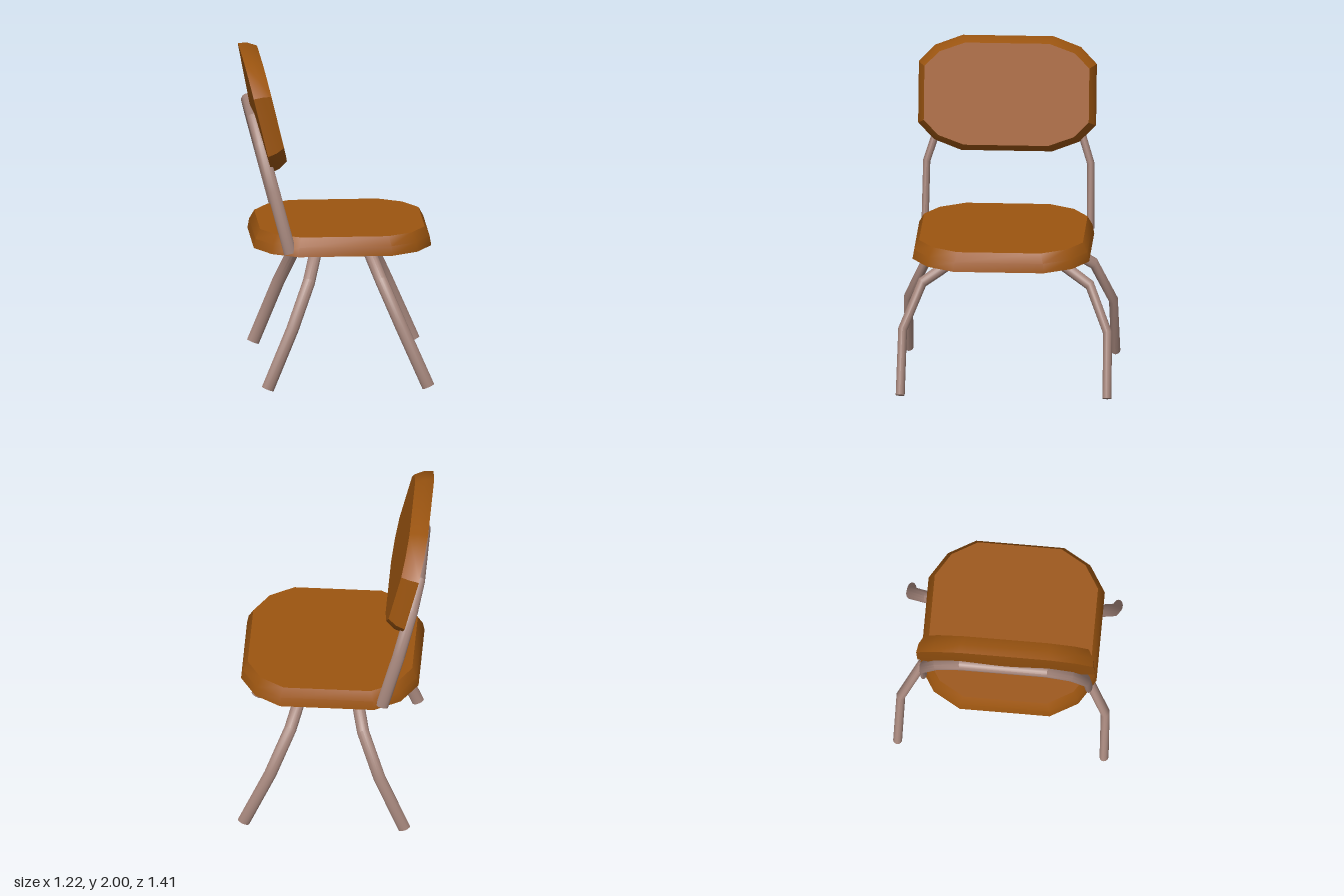
import * as THREE from 'three';
import { toCreasedNormals } from 'three/addons/utils/BufferGeometryUtils.js';

// Skin a stack of equal-length rings, closing both ends with fans around the given centres
function loft(rings, startCentre, endCentre) {
  const n = rings[0].length;
  const points = [...rings.flat(), startCentre, endCentre];
  const start = points.length - 2, end = points.length - 1;
  const last = (rings.length - 1) * n;
  const index = [];
  for (let j = 0; j < n; j++) {
    const k = (j + 1) % n;
    for (let i = 0; i < rings.length - 1; i++) {
      const a = i * n + j, b = i * n + k, c = a + n, d = b + n;
      index.push(a, c, b, b, c, d);
    }
    index.push(start, j, k, end, last + k, last + j);
  }
  const geometry = new THREE.BufferGeometry().setFromPoints(points);
  geometry.setIndex(index);
  return toCreasedNormals(geometry, 0.6);
}

// Pad with chamfered corners: slightly domed underside, bevelled flat top
function cushion(halfX, halfZ, thickness) {
  const quarter = [[1, 0.51], [0.82, 0.82], [0.53, 1]];
  const mirrored = [...quarter].reverse();
  const outline = [
    ...quarter,
    ...mirrored.map(([x, z]) => [-x, z]),
    ...quarter.map(([x, z]) => [-x, -z]),
    ...mirrored.map(([x, z]) => [x, -z]),
  ];
  const profile = [[0, 0], [0.01, 0.5], [0.04, 1]]; // inset, height share
  const rings = profile.map(([inset, h]) => outline.map(([x, z]) =>
    new THREE.Vector3(x * (halfX - inset), h * thickness, z * (halfZ - inset))));
  return loft(rings, new THREE.Vector3(0, -0.025, 0), new THREE.Vector3(0, thickness, 0));
}

// Bent tube arch in a leaning plane, from foot (x0, y0) to crossbar (x1, y1)
function arch(halfWidth, x0, y0, x1, y1) {
  const half = [[1, 0], [0.99, 0.49], [0.81, 0.84], [0.52, 1]]; // width share, height share
  const path = [...half, ...half.map(([w, h]) => [-w, h]).reverse()].map(([w, h]) =>
    new THREE.Vector3(x0 + (x1 - x0) * h, y0 + (y1 - y0) * h, w * halfWidth));
  const normal = new THREE.Vector3(y1 - y0, x0 - x1, 0).normalize();
  const radius = 0.039, sides = 14;
  const rings = path.map((p, i) => {
    const tangent = new THREE.Vector3();
    if (i > 0) tangent.add(p.clone().sub(path[i - 1]).normalize());
    if (i < path.length - 1) tangent.add(path[i + 1].clone().sub(p).normalize());
    tangent.normalize();
    const across = tangent.clone().cross(normal);
    return Array.from({ length: sides }, (_, j) => {
      const a = -j / sides * Math.PI * 2;
      const offset = normal.clone().multiplyScalar(Math.cos(a) * radius)
        .addScaledVector(across, Math.sin(a) * radius);
      offset.z *= 1.13 * halfWidth; // tube is narrower from side to side
      return p.clone().add(offset);
    });
  });
  return loft(rings, path[0], path[path.length - 1]);
}

export function createModel() {
  const wood = new THREE.MeshStandardMaterial({ color: 0x9c5510 });
  const metal = new THREE.MeshStandardMaterial({ color: 0xa5867c });
  const model = new THREE.Group();
  model.name = 'chair';

  const add = (name, geometry, material, x = 0, y = 0, z = 0) => {
    const mesh = new THREE.Mesh(geometry, material);
    mesh.name = name;
    mesh.position.set(x, y, z);
    model.add(mesh);
    return mesh;
  };

  // Padded seat and reclined backrest
  add('seat', cushion(0.547, 0.544, 0.115), wood, 0.008, 0.83, 0.029);
  const backrest = add('backrest', cushion(0.355, 0.548, 0.11), wood, -0.515, 1.651, 0.032);
  backrest.rotation.z = -THREE.MathUtils.degToRad(76.5);

  // Splayed leg arches and the arch carrying the backrest
  add('frontLegs', arch(0.637, 0.513, 0.016, 0.18, 0.78), metal);
  add('rearLegs', arch(0.637, -0.477, 0.016, -0.165, 0.78), metal);
  add('backrestFrame', arch(0.51, -0.33, 0.845, -0.54, 1.64), metal, 0, 0, 0.02);

  // The whole chair is turned slightly
  model.rotation.y = THREE.MathUtils.degToRad(5);
  const root = new THREE.Group();
  root.add(model);
  return root;
}
